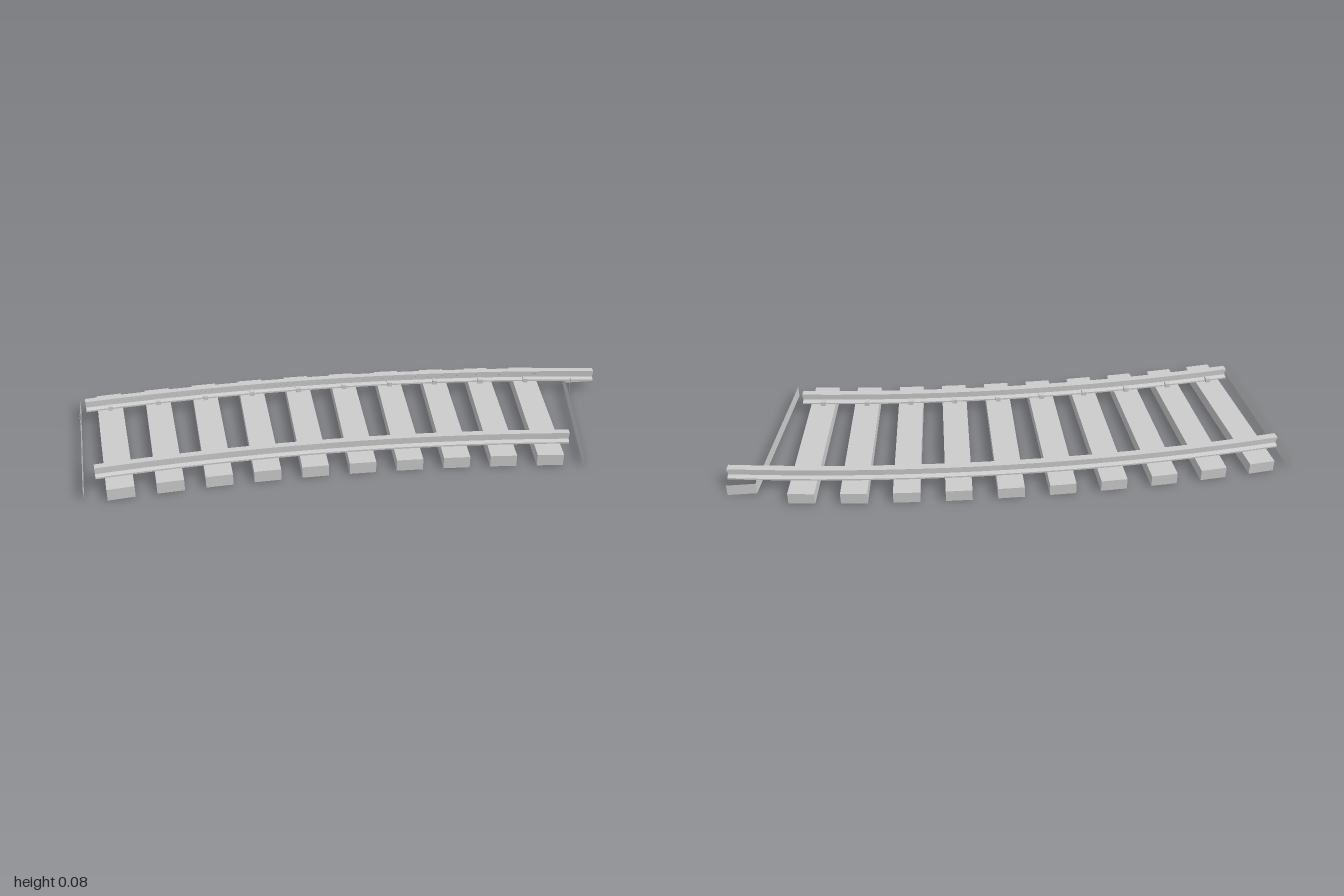
import * as THREE from 'three';

const CENTER = new THREE.Vector3(-3.39, 0, 6.076); // centre of the track curve
const R_IN = 6.73, R_OUT = 7.2, R_MID = 6.965;
const TIE_H = 0.043;
const rad = THREE.MathUtils.degToRad;

export function createModel() {
  const group = new THREE.Group();
  const mat = new THREE.MeshStandardMaterial({ color: 0xcccccc, flatShading: true, side: THREE.DoubleSide });

  const add = (geometry, name) => {
    const mesh = new THREE.Mesh(geometry, mat);
    mesh.name = name;
    group.add(mesh);
    return mesh;
  };

  // Box on the curve: width along the track, depth across it
  const onCurve = (name, r, deg, w, h, d, y) => {
    const t = rad(deg);
    const mesh = add(new THREE.BoxGeometry(w, h, d), name);
    mesh.position.set(CENTER.x + r * Math.sin(t), y, CENTER.z - r * Math.cos(t));
    mesh.rotation.y = -t;
  };

  // Sleepers, each with a fastener on the inner side of both rails
  for (let i = 0; i < 10; i++) {
    const deg = 22.1 + (13 * i) / 9;
    onCurve('sleeper', R_MID, deg, 0.094, TIE_H, 0.66, TIE_H / 2);
    for (const r of [R_IN + 0.021, R_OUT - 0.021]) {
      onCurve('railFastener', r, deg, 0.018, 0.016, 0.022, TIE_H + 0.008);
    }
  }

  // Rail section: foot, web and head, half of it mirrored
  const half = [[0.02, 0], [0.02, 0.006], [0.006, 0.012], [0.006, 0.025], [0.013, 0.029], [0.013, 0.04]];
  const section = [...half, ...half.map(([x, y]) => [-x, y]).reverse()]
    .map(([x, y]) => new THREE.Vector2(x, y + TIE_H));

  const addRail = (name, r, from, to) => {
    const rail = section.map((p) => new THREE.Vector2(p.x + r, p.y));
    const start = Math.PI - rad(to), length = rad(to - from);
    add(new THREE.LatheGeometry([...rail, rail[0]], 18, start, length), name).position.copy(CENTER);
    // End caps
    for (const phi of [start, start + length]) {
      const cap = add(new THREE.ShapeGeometry(new THREE.Shape(rail)), name + 'End');
      cap.position.copy(CENTER);
      cap.rotation.y = phi - Math.PI / 2;
    }
  };
  addRail('innerRail', R_IN, 21.43, 35.78);
  addRail('outerRail', R_OUT, 21.39, 37.26);

  // Thin upright plates closing the two ends
  const addPlate = (name, x1, z1, x2, z2, height) => {
    const dx = x2 - x1, dz = z2 - z1;
    const plate = add(new THREE.PlaneGeometry(Math.hypot(dx, dz), height), name);
    plate.position.set((x1 + x2) / 2, height / 2, (z1 + z2) / 2);
    plate.rotation.y = -Math.atan2(dz, dx);
  };
  addPlate('backEndPlate', -0.75, -0.72, -1, -0.14, TIE_H);
  addPlate('frontEndPlate', 0.52, 0.72, 0.91, 0.25, TIE_H);
  addPlate('frontEndPlateReturn', 0.91, 0.25, 1, 0.3, TIE_H);

  // Small strips standing against the plates
  addPlate('backEndStrip', -0.803, -0.605, -0.809, -0.591, 0.062);
  addPlate('frontEndStrip', 0.878, 0.318, 0.888, 0.306, 0.06);

  return group;
}
